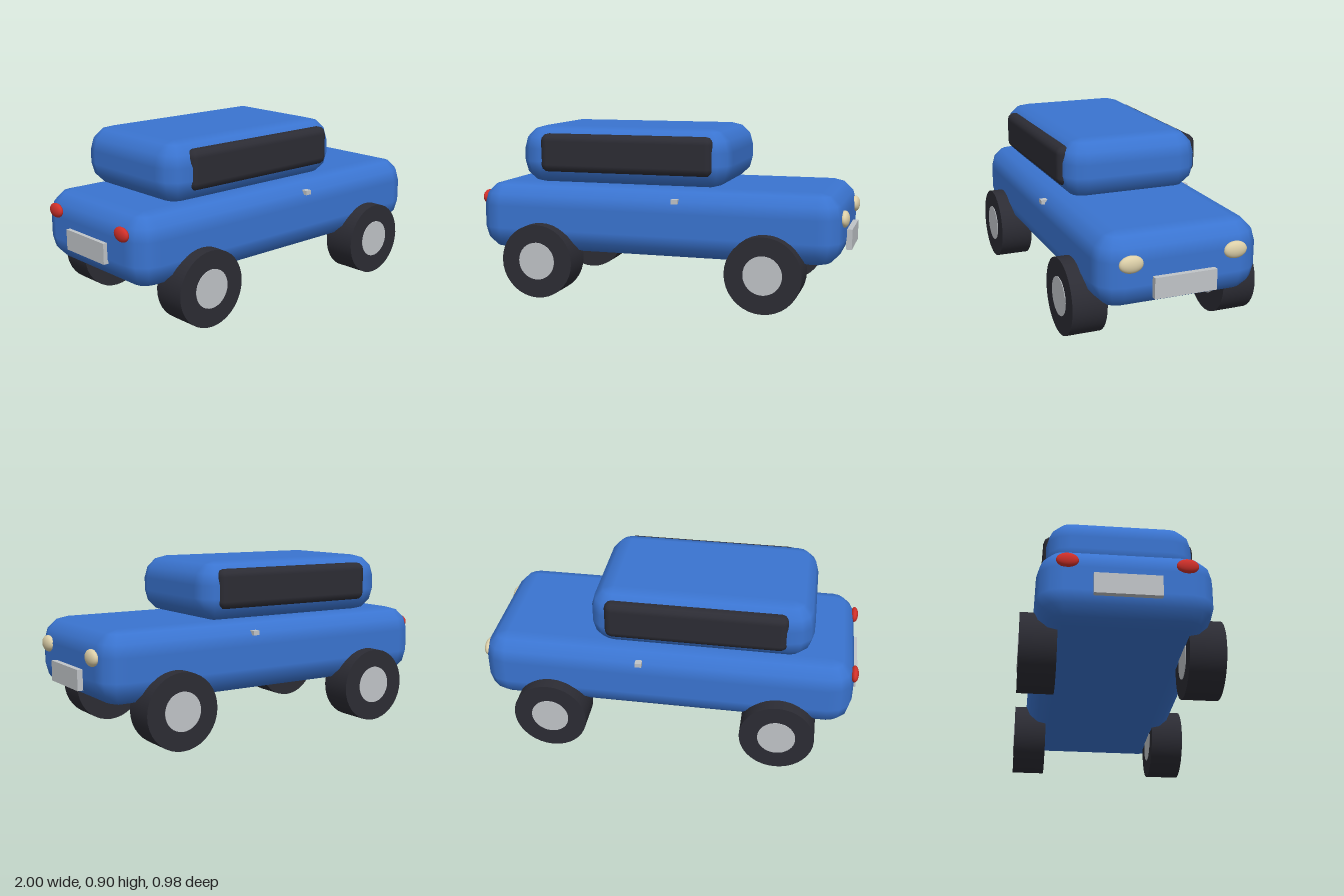
import * as THREE from 'three';

// Box with all edges rounded in three 30-degree steps, made from a remapped sphere grid
function roundedBox(w, h, d, r) {
  const geo = new THREE.SphereGeometry(1, 16, 9);
  const pos = geo.attributes.position, nor = geo.attributes.normal;
  const bx = w / 2 - r, by = h / 2 - r, bz = d / 2 - r;
  const step = Math.PI / 6;
  for (let row = 0; row <= 9; row++) {
    for (let col = 0; col <= 16; col++) {
      const i = row * 17 + col, c = col % 16;
      const up = row < 5 ? 1 : -1;
      if (row === 0 || row === 9) { // centre of the flat top and bottom
        pos.setXYZ(i, 0, up * h / 2, 0);
        nor.setXYZ(i, 0, up, 0);
        continue;
      }
      const q = Math.floor(c / 4);
      const phi = q * Math.PI / 2 + (c % 4) * step;
      const mid = q * Math.PI / 2 + Math.PI / 4;
      const theta = (row < 5 ? row - 1 : row - 2) * step;
      const nx = -Math.cos(phi) * Math.sin(theta);
      const ny = Math.cos(theta);
      const nz = Math.sin(phi) * Math.sin(theta);
      pos.setXYZ(i,
        -Math.sign(Math.cos(mid)) * bx + nx * r,
        up * by + ny * r,
        Math.sign(Math.sin(mid)) * bz + nz * r);
      nor.setXYZ(i, nx, ny, nz);
    }
  }
  return geo;
}

export function createModel() {
  const group = new THREE.Group();
  group.name = 'car';

  const material = (name, color) => {
    const m = new THREE.MeshStandardMaterial({ color });
    m.name = name;
    return m;
  };
  const blue = material('bluePaint', 0x3a74d0);
  const dark = material('darkRubberAndGlass', 0x2c2c34);
  const silver = material('silver', 0xc0c4c8);
  const cream = material('creamLamp', 0xdccfa8);
  const red = material('redLamp', 0xd0302a);

  const add = (name, geometry, mat, x, y, z) => {
    const mesh = new THREE.Mesh(geometry, mat);
    mesh.name = name;
    mesh.position.set(x, y, z);
    group.add(mesh);
    return mesh;
  };

  // Body and cabin
  add('body', roundedBox(1.95, 0.37, 0.84, 0.125), blue, -0.003, 0.41, 0);
  add('cabin', roundedBox(1.15, 0.307, 0.74, 0.12), blue, -0.18, 0.744, 0);

  // Plates on both ends
  add('frontPlate', new THREE.BoxGeometry(0.03, 0.105, 0.32), silver, 0.985, 0.338, 0);
  add('rearPlate', new THREE.BoxGeometry(0.03, 0.105, 0.32), silver, -0.985, 0.378, 0);

  const windowGeo = roundedBox(0.94, 0.204, 0.09, 0.04);
  const handleGeo = new THREE.BoxGeometry(0.035, 0.023, 0.05);
  const lampGeo = new THREE.SphereGeometry(1, 24, 16);
  const tyreGeo = new THREE.CylinderGeometry(0.195, 0.195, 0.178, 36).rotateX(Math.PI / 2);
  const hubGeo = new THREE.CylinderGeometry(0.099, 0.099, 0.184, 32).rotateX(Math.PI / 2);

  for (const s of [1, -1]) {
    const side = s > 0 ? 'Front' : 'Back';

    add('sideWindow' + side, windowGeo, dark, -0.158, 0.758, s * 0.34);
    add('doorHandle' + side, handleGeo, silver, 0.128, 0.534, s * 0.4);

    // Lamps
    add('headlight' + side, lampGeo, cream, 0.97, 0.462, s * 0.267).scale.set(0.026, 0.043, 0.061);
    add('tailLight' + side, lampGeo, red, -0.978, 0.5, s * 0.281).scale.set(0.021, 0.037, 0.053);

    // Wheels
    for (const x of [0.6, -0.606]) {
      const end = x > 0 ? 'Fore' : 'Aft';
      add('tyre' + end + side, tyreGeo, dark, x, 0.195, s * 0.4);
      add('hub' + end + side, hubGeo, silver, x, 0.197, s * 0.4);
    }
  }
  return group;
}
